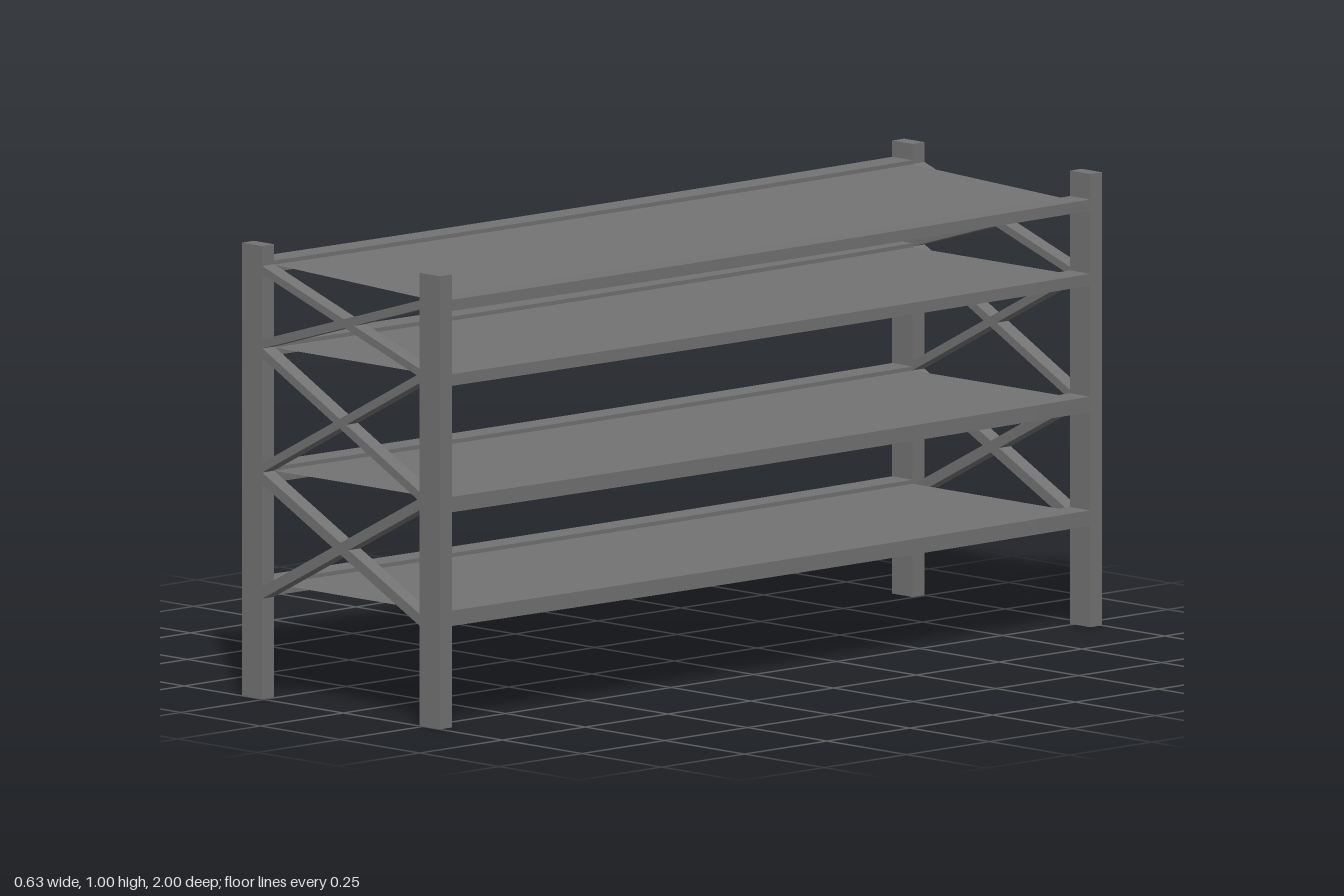
import * as THREE from 'three';

const material = new THREE.MeshStandardMaterial({ color: 0x737373, flatShading: true, side: THREE.DoubleSide });

const POST_W = 0.064, POST_D = 0.036;
const LEFT_X = 0.2715, RIGHT_X = -0.2863;            // post centres
const INNER_L = LEFT_X - POST_W / 2, INNER_R = RIGHT_X + POST_W / 2;
const SPAN = 2 - 2 * POST_D;                         // length between the post pairs
const BOW = 0.013;                                   // sideways bend at mid length

function add(group, name, geometry, x = 0, y = 0, z = 0) {
  const mesh = new THREE.Mesh(geometry, material);
  mesh.name = name;
  mesh.position.set(x, y, z);
  group.add(mesh);
}

// Shift vertices sideways so long members bow gently towards +x
function bow(geometry) {
  const p = geometry.attributes.position;
  for (let i = 0; i < p.count; i++) {
    const t = p.getZ(i) / (SPAN / 2);
    p.setX(i, p.getX(i) + BOW * (1 - t * t));
  }
  geometry.computeVertexNormals();
  return geometry;
}

function rail(height) {
  return bow(new THREE.BoxGeometry(POST_W, height, SPAN, 1, 1, 12));
}

// Thin shelf sheet between the inner faces of two rails
function panel(yRight, yLeft) {
  const width = INNER_L - INNER_R;
  const g = new THREE.PlaneGeometry(width, SPAN, 1, 12).rotateX(-Math.PI / 2);
  const p = g.attributes.position;
  for (let i = 0; i < p.count; i++) {
    p.setY(i, THREE.MathUtils.lerp(yRight, yLeft, p.getX(i) / width + 0.5));
    p.setX(i, p.getX(i) + (INNER_L + INNER_R) / 2);
  }
  return bow(g);
}

// Diagonal bar whose ends are cut flush with the posts
function brace(yRight, yLeft, thickness) {
  const h = thickness / 2;
  const s = new THREE.Shape([
    new THREE.Vector2(INNER_R, yRight - h), new THREE.Vector2(INNER_L, yLeft - h),
    new THREE.Vector2(INNER_L, yLeft + h), new THREE.Vector2(INNER_R, yRight + h),
  ]);
  return new THREE.ExtrudeGeometry(s, { depth: POST_D, bevelEnabled: false });
}

export function createModel() {
  const model = new THREE.Group();
  model.name = 'shelvingRack';

  // Shelves: top heights of the right and left rails, and rail height
  const shelves = [
    [0.259, 0.258, 0.034],
    [0.509, 0.509, 0.034],
    [0.781, 0.780, 0.026],
    [0.964, 0.944, 0.025],
  ];
  shelves.forEach(([right, left, h], i) => {
    const shelf = new THREE.Group();
    shelf.name = `shelf${i + 1}`;
    add(shelf, 'rightRail', rail(h), RIGHT_X, right - h / 2);
    add(shelf, 'leftRail', rail(h), LEFT_X, left - h / 2);
    add(shelf, 'shelfPanel', panel(right - 0.009, left - 0.008));
    model.add(shelf);
  });

  // End frames: two posts with three crossed bays of [right y, left y, thickness]
  const braces = [
    [0.487, 0.234, 0.026], [0.235, 0.489, 0.026],
    [0.764, 0.506, 0.021], [0.511, 0.767, 0.021],
    [0.947, 0.779, 0.018], [0.784, 0.929, 0.02],
  ];
  for (const side of [1, -1]) {
    const end = new THREE.Group();
    end.name = side > 0 ? 'frontFrame' : 'backFrame';
    const z = side * (1 - POST_D / 2);
    const post = new THREE.BoxGeometry(POST_W, 1, POST_D);
    add(end, 'leftPost', post, LEFT_X, 0.5, z);
    add(end, 'rightPost', post, RIGHT_X, 0.5, z);
    for (const b of braces) add(end, 'crossBrace', brace(...b), 0, 0, z - POST_D / 2);
    model.add(end);
  }
  return model;
}
